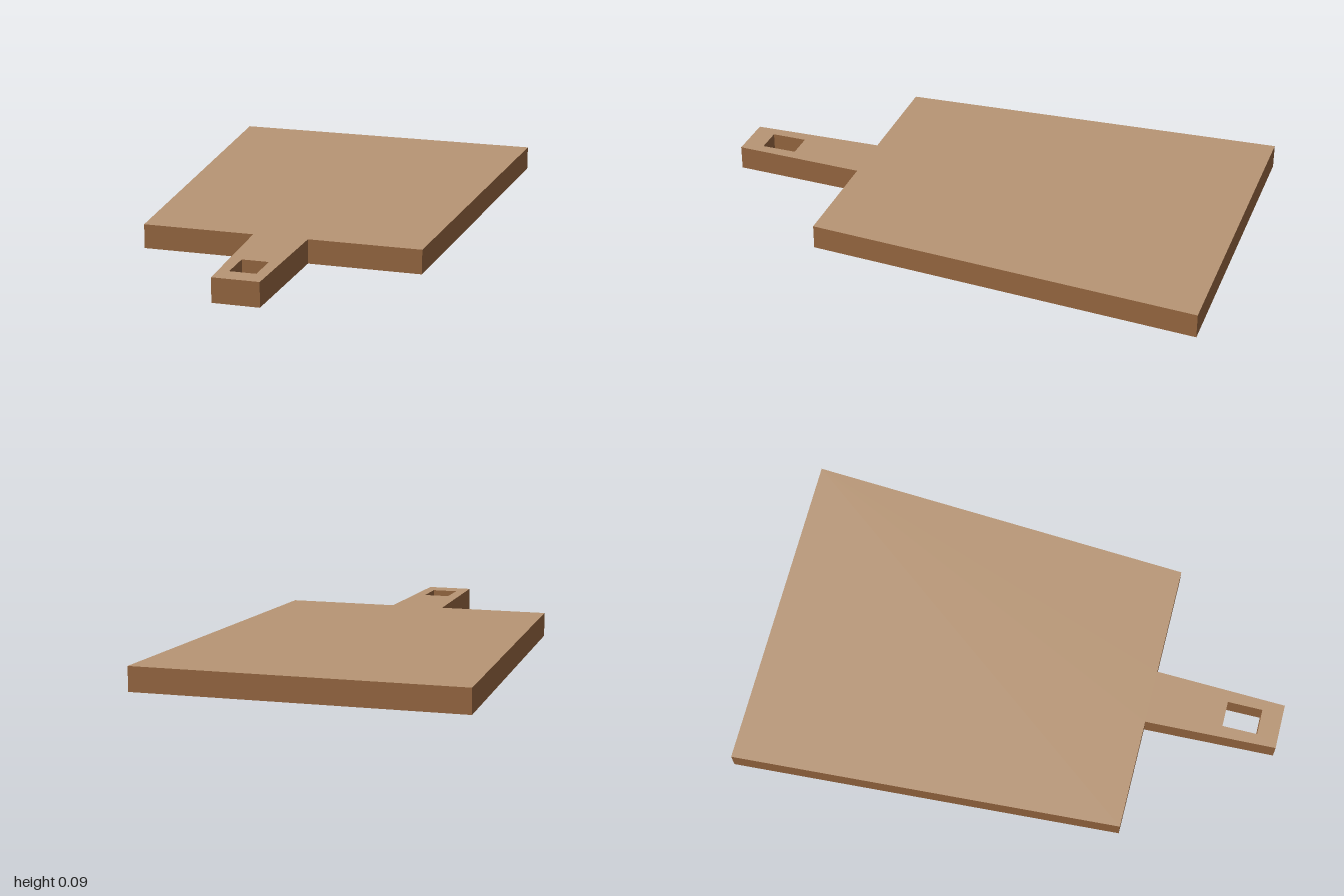
import * as THREE from 'three';

const THICKNESS = 0.093;

// Closed outline from [x, z] points seen from above
function outline(points, PathType) {
  return new PathType(points.map(([x, z]) => new THREE.Vector2(x, -z)));
}

export function createModel() {
  const group = new THREE.Group();
  group.name = 'cuttingBoard';

  const faceWood = new THREE.MeshStandardMaterial({ color: 0xb89675 });
  faceWood.name = 'light wood face';
  const edgeWood = new THREE.MeshStandardMaterial({ color: 0xa06e45 });
  edgeWood.name = 'brown wood edge';

  // Half outline, from the handle end to the wide back, mirrored across x
  const half = [[0.088, 1], [0.105, 0.495], [0.533, 0.495], [0.623, -1]];
  const mirrored = half.map(([x, z]) => [-x, z]).reverse();
  const shape = outline([...half, ...mirrored], THREE.Shape);

  // Rectangular hanging hole in the handle
  shape.holes.push(outline(
    [[-0.05, 0.785], [0.05, 0.785], [0.05, 0.92], [-0.05, 0.92]], THREE.Path));

  // Flat slab: light faces above and below, brown edges and hole walls
  const geometry = new THREE.ExtrudeGeometry(shape, { depth: THICKNESS, bevelEnabled: false });
  geometry.rotateX(-Math.PI / 2);
  const board = new THREE.Mesh(geometry, [faceWood, edgeWood]);
  board.name = 'boardWithHandle';
  group.add(board);

  return group;
}
